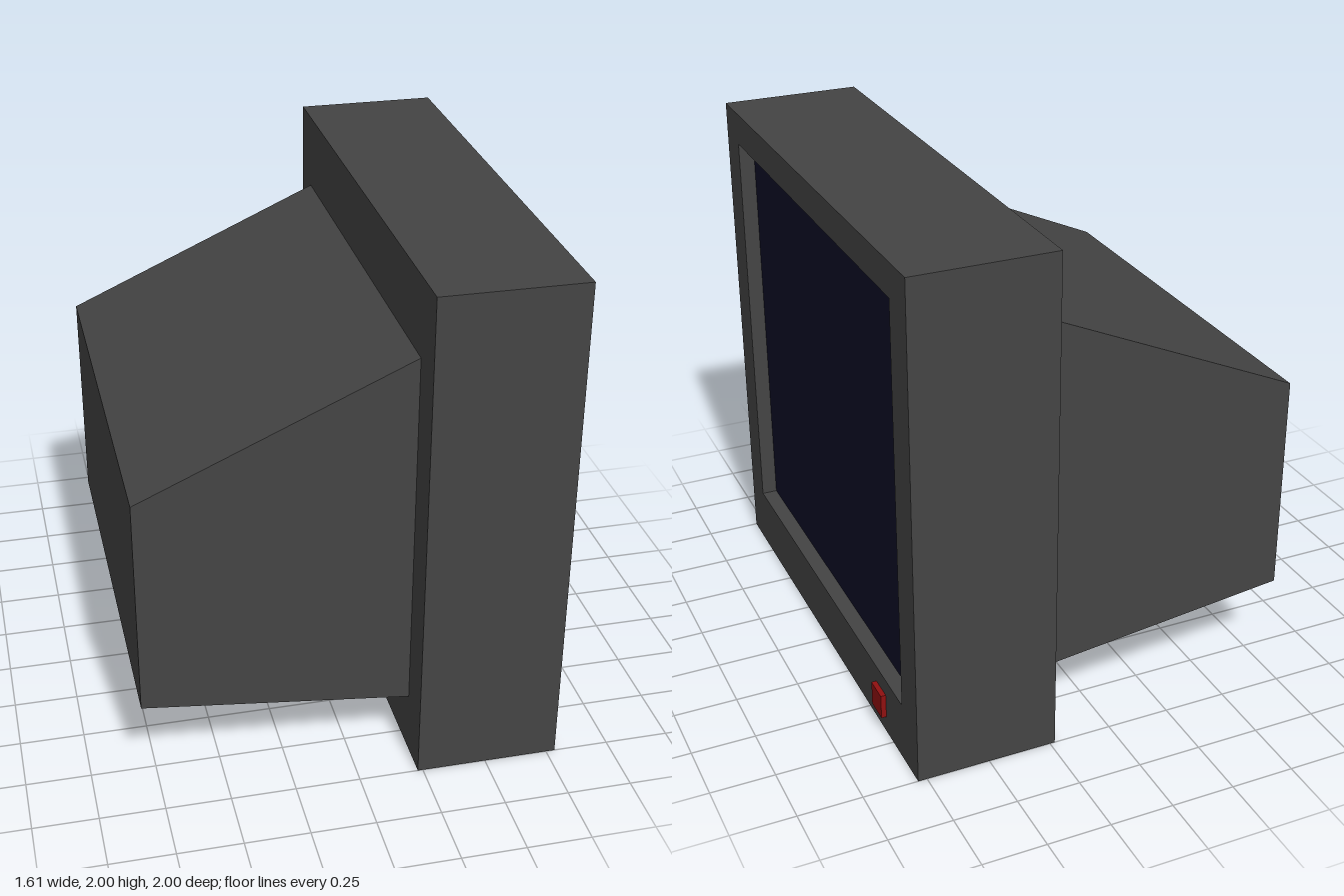
import * as THREE from 'three';

const material = (color) => new THREE.MeshStandardMaterial({ color });
const casing = material(0x444444);
const glass = material(0x0e0e26);
const red = material(0x901010);

function addMesh(group, name, geometry, mat) {
  const mesh = new THREE.Mesh(geometry, mat);
  mesh.name = name;
  group.add(mesh);
  return mesh;
}

// Box given by its minimum and maximum corners
function boxBetween(a, b) {
  const size = b.map((v, i) => v - a[i]);
  return new THREE.BoxGeometry(...size).translate(...a.map((v, i) => v + size[i] / 2));
}

const polygon = (points) => points.map(([x, y]) => new THREE.Vector2(x, y));

export function createModel() {
  const group = new THREE.Group();
  group.name = 'monitor';

  const back = 0.23, recess = 0.72, front = 0.785;

  // Main body of the front casing
  addMesh(group, 'frontCasing', boxBetween([back, 0, -1], [recess, 2, 1]), casing);

  // Bezel with the screen opening, extruded along x
  const rim = new THREE.Shape(polygon([[-1, 0], [1, 0], [1, 2], [-1, 2]]));
  rim.holes.push(new THREE.Path(polygon([[-0.85, 0.24], [-0.85, 1.87], [0.85, 1.87], [0.85, 0.24]])));
  const bezel = new THREE.ExtrudeGeometry(rim, { depth: front - recess, bevelEnabled: false });
  bezel.rotateY(Math.PI / 2).translate(recess, 0, 0);
  addMesh(group, 'bezel', bezel, casing);

  // Recessed screen
  addMesh(group, 'screen', boxBetween([recess - 0.02, 0.24, -0.85], [recess + 0.003, 1.87, 0.85]), glass);

  // Tapered rear housing, its side profile extruded across z
  const profile = new THREE.Shape(polygon([[-0.805, 0.36], [back, 0.24], [back, 1.7], [-0.805, 1.235]]));
  const housing = new THREE.ExtrudeGeometry(profile, { depth: 1.695, bevelEnabled: false });
  addMesh(group, 'rearHousing', housing.translate(0, 0, -0.85), casing);

  // Power button below the screen
  addMesh(group, 'powerButton', boxBetween([front - 0.01, 0.07, -0.68], [0.805, 0.17, -0.58]), red);

  return group;
}
